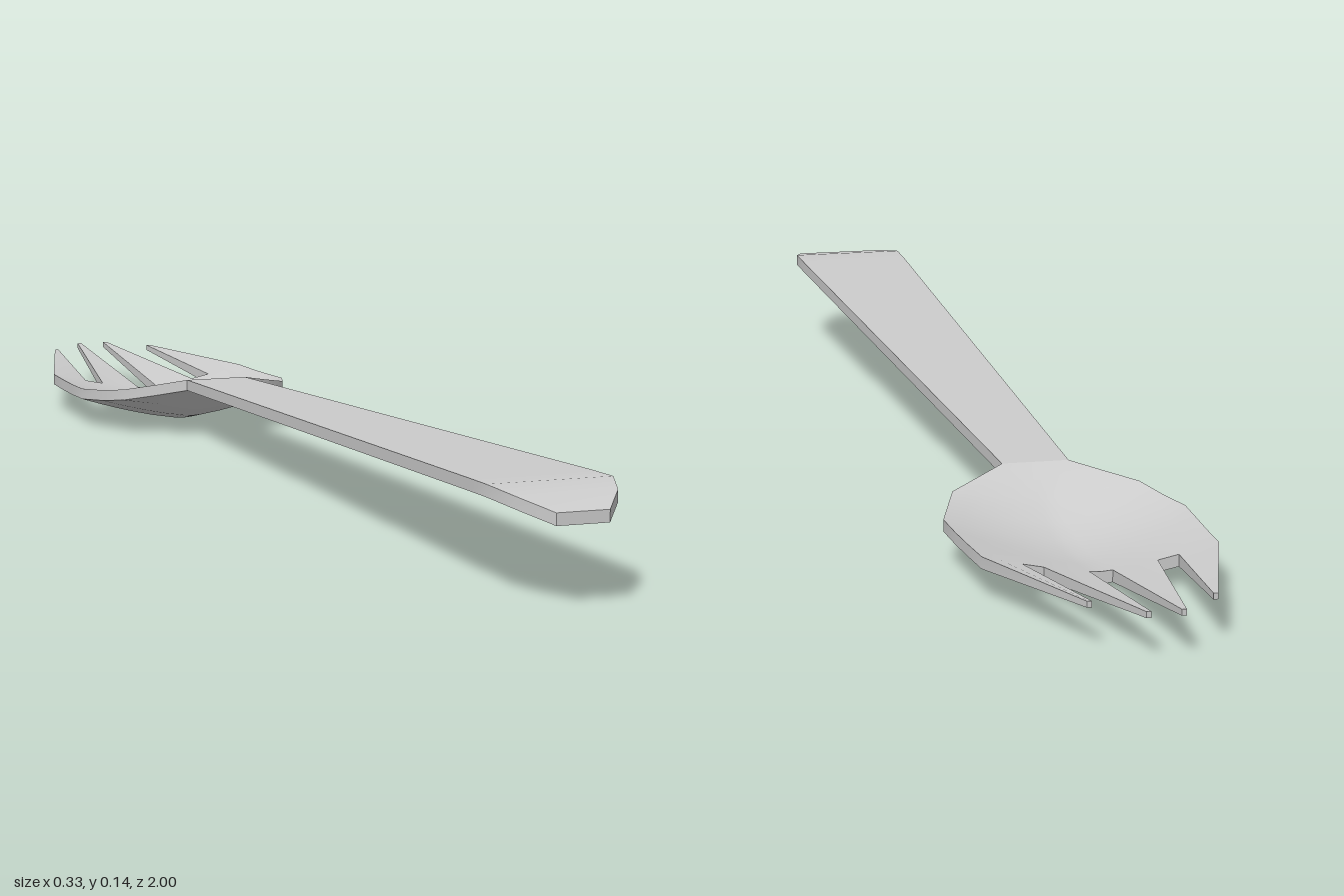
import * as THREE from 'three';
import { mergeGeometries, toCreasedNormals } from 'three/addons/utils/BufferGeometryUtils.js';

const THICK = 0.016;

// Solid plate through rows of points { x, z, top, bottom }; rows run towards -z, points towards +x.
function loft(rows, frontCap, backCap) {
  const out = [];
  const T = (i, j) => [rows[i][j].x, rows[i][j].top, rows[i][j].z];
  const B = (i, j) => [rows[i][j].x, rows[i][j].bottom, rows[i][j].z];
  const quad = (a, b, c, d) => out.push(...a, ...b, ...c, ...a, ...c, ...d);
  const m = rows.length - 1, n = rows[0].length - 1;
  for (let i = 0; i < m; i++) {
    for (let j = 0; j < n; j++) {
      quad(T(i, j), T(i, j + 1), T(i + 1, j + 1), T(i + 1, j));
      quad(B(i + 1, j), B(i + 1, j + 1), B(i, j + 1), B(i, j));
    }
    quad(B(i + 1, 0), B(i, 0), T(i, 0), T(i + 1, 0));
    quad(T(i + 1, n), T(i, n), B(i, n), B(i + 1, n));
  }
  for (let j = 0; j < n; j++) {
    if (frontCap(j)) quad(B(0, j), B(0, j + 1), T(0, j + 1), T(0, j));
    if (backCap(j)) quad(T(m, j), T(m, j + 1), B(m, j + 1), B(m, j));
  }
  const g = new THREE.BufferGeometry();
  g.setAttribute('position', new THREE.Float32BufferAttribute(out, 3));
  return g;
}

// One cross-section: half width, rim height and centre height, sampled at fractions of the width
function section([z, half, rim, centre], fractions) {
  return fractions.map((f) => {
    const top = centre + (rim - centre) * Math.abs(f) ** 1.4;
    return { x: f * half, z, top, bottom: top - THICK };
  });
}

export function createModel() {
  const group = new THREE.Group();
  const material = new THREE.MeshStandardMaterial({ color: 0xcccccc });
  const add = (name, geometry) => {
    const mesh = new THREE.Mesh(toCreasedNormals(geometry, 0.6), material);
    mesh.name = name;
    group.add(mesh);
  };
  const yes = () => true, no = () => false;

  // Flat tapering handle with a clipped, drooping end
  const handle = [
    [1, 0.035, 0.12, 0.12], [0.95, 0.068, 0.134, 0.134], [0.9, 0.084, 0.141, 0.141],
    [0.84, 0.083, 0.139, 0.139], [-0.36, 0.046, 0.088, 0.088],
  ].map((s) => section(s, [-1, 1]));
  add('handle', loft(handle, yes, no));

  // Bowl columns line up with the slot edges: tines cover some, slots the others
  const half = [0.1, 0.3, 0.48, 0.66, 0.84, 1];
  const fractions = [...half.map((f) => -f).reverse(), 0, ...half];
  const bowl = [
    [-0.36, 0.046, 0.088, 0.088], [-0.39, 0.088, 0.078, 0.072], [-0.42, 0.128, 0.069, 0.053],
    [-0.47, 0.146, 0.062, 0.031], [-0.52, 0.163, 0.058, 0.02], [-0.58, 0.161, 0.056, 0.016],
    [-0.64, 0.158, 0.055, 0.02], [-0.7, 0.155, 0.055, 0.026],
  ].map((s) => section(s, fractions));
  const slots = [2, 5, 6, 9];
  const parts = [loft(bowl, no, (j) => slots.includes(j))];

  // Tines: [first column, last column, tip x, tip z]
  const root = bowl[bowl.length - 1];
  const tines = [[0, 2, -0.079, -0.94], [3, 5, -0.022, -1], [7, 9, 0.022, -1], [10, 12, 0.079, -0.94]];
  for (const [from, to, tipX, tipZ] of tines) {
    const base = root.slice(from, to + 1);
    const tip = base.map((p, k) => ({ x: tipX + (k - 1) * 0.003, z: tipZ, top: 0.058, bottom: 0.05 }));
    parts.push(loft([base, tip], no, yes));
  }
  add('bowlAndTines', mergeGeometries(parts));

  return group;
}
